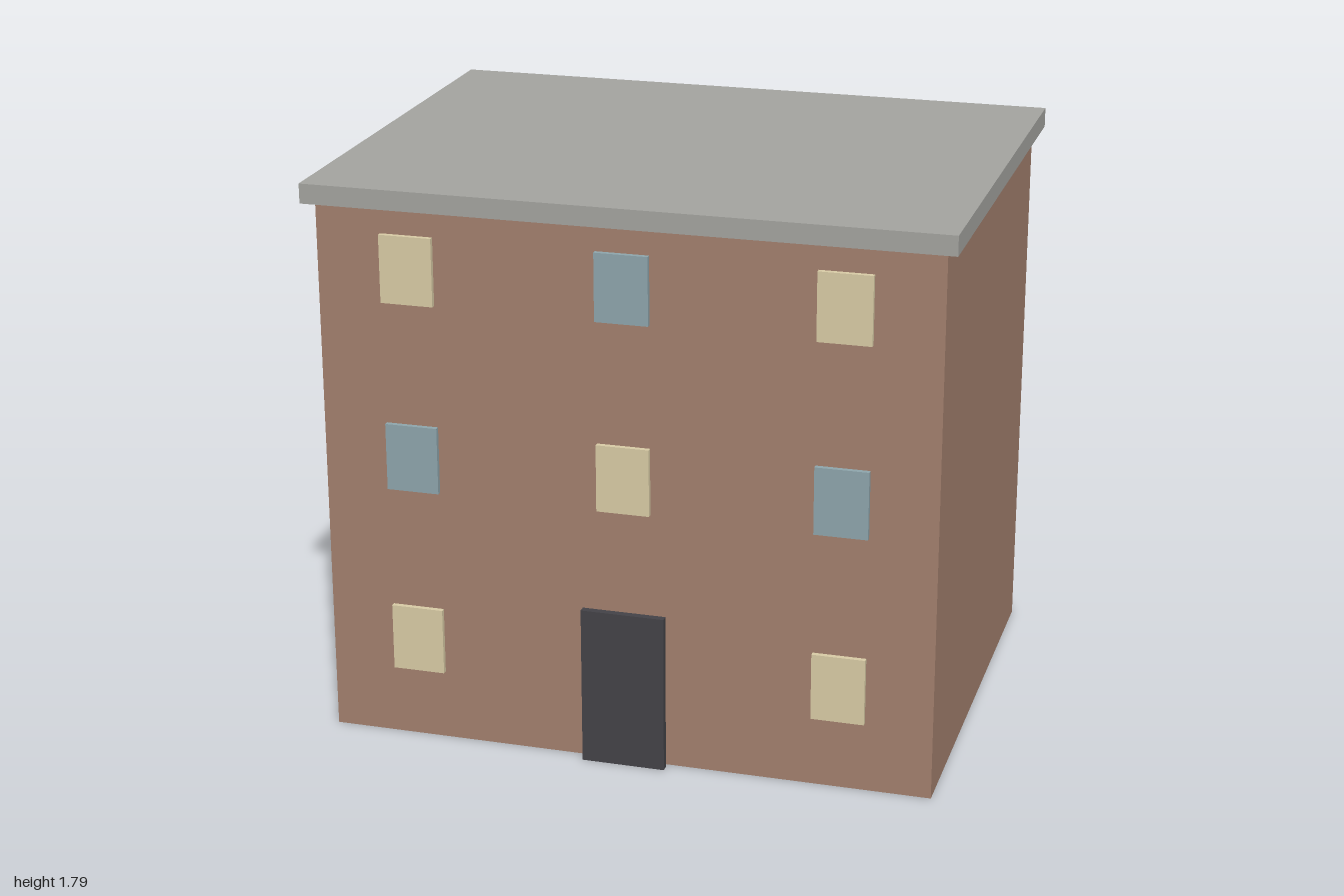
import * as THREE from 'three';

const material = (color) => new THREE.MeshStandardMaterial({ color });

// Box given by its two limits on each axis
function block(name, mat, [x0, x1], [y0, y1], [z0, z1]) {
  const mesh = new THREE.Mesh(new THREE.BoxGeometry(x1 - x0, y1 - y0, z1 - z0), mat);
  mesh.name = name;
  mesh.position.set((x0 + x1) / 2, (y0 + y1) / 2, (z0 + z1) / 2);
  return mesh;
}

export function createModel() {
  const house = new THREE.Group();
  house.name = 'apartmentBlock';

  const brick = material(0xa27f6d);
  const concrete = material(0xa3a39f);
  const dark = material(0x434247);
  const lit = material(0xd8cba5);
  const unlit = material(0x8ea5ac);

  // Main body and overhanging flat roof
  house.add(block('walls', brick, [-0.965, 0.965], [0, 1.733], [-0.724, 0.72]));
  house.add(block('roof', concrete, [-1, 1], [1.733, 1.795], [-0.761, 0.756]));

  // Front door
  house.add(block('door', dark, [-0.132, 0.132], [0, 0.509], [0.738, 0.761]));

  // Window grid, lit and unlit alternating; the door takes the middle of the ground floor
  const windows = new THREE.Group();
  windows.name = 'windows';
  const sills = [0.23, 0.835, 1.438];
  sills.forEach((y, floor) => {
    for (let col = -1; col <= 1; col++) {
      if (floor === 0 && col === 0) continue;
      const x = col * 0.674;
      const glass = (floor + col + 1) % 2 === 0 ? lit : unlit;
      windows.add(block('window', glass, [x - 0.083, x + 0.083], [y, y + 0.214], [0.728, 0.744]));
    }
  });
  house.add(windows);

  return house;
}
